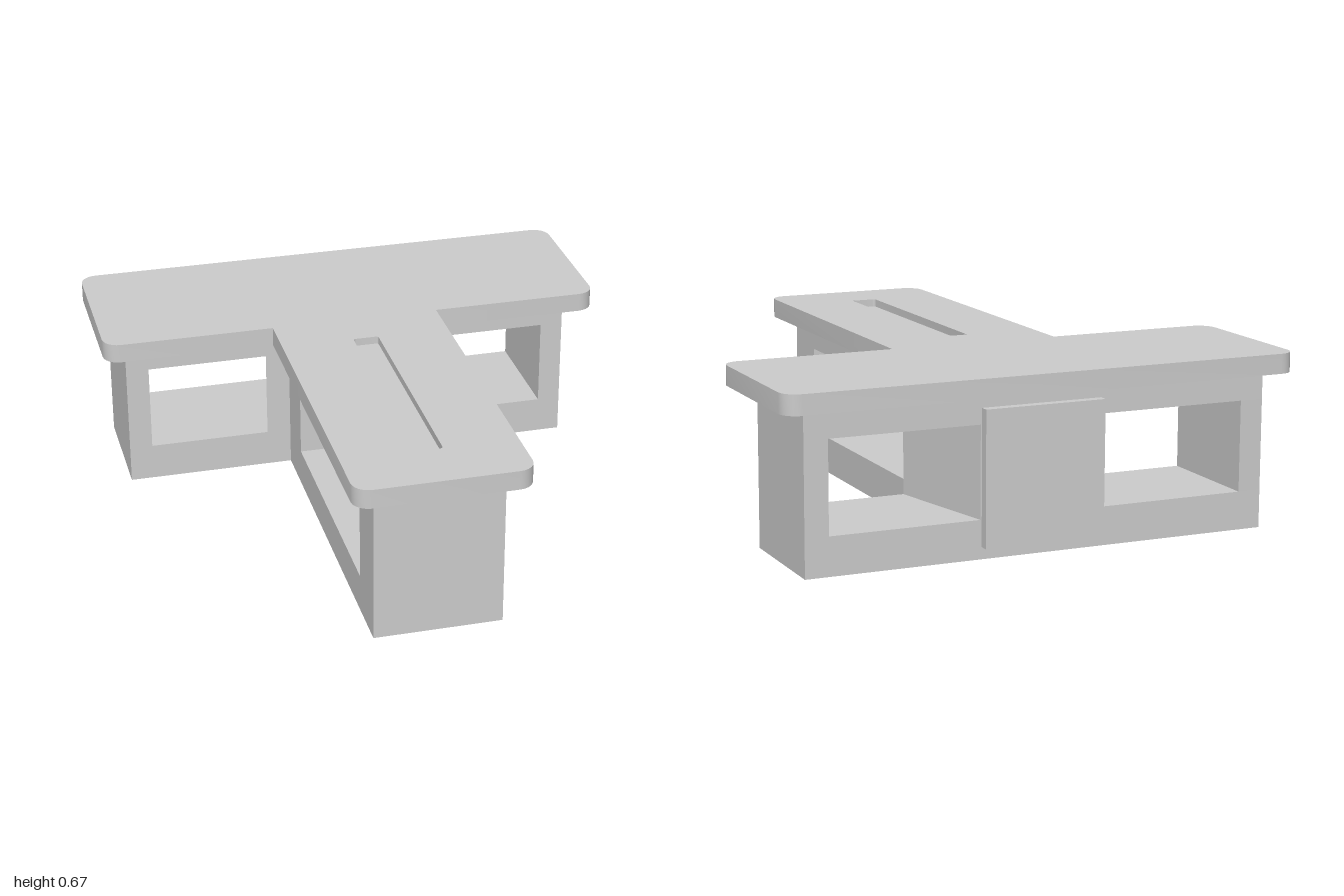
import * as THREE from 'three';
import { toCreasedNormals } from 'three/addons/utils/BufferGeometryUtils.js';

const material = new THREE.MeshStandardMaterial({ color: 0xcccccc });

// Plan outline from [x, z, radius] corners; a radius rounds that corner
function plan(corners, Type = THREE.Shape) {
  const path = new Type();
  const n = corners.length;
  corners.forEach(([x, z, r = 0], i) => {
    const p = new THREE.Vector2(x, z);
    const toward = (j) => {
      const q = new THREE.Vector2(corners[j][0], corners[j][1]);
      return q.sub(p).setLength(r).add(p);
    };
    const a = r ? toward((i + n - 1) % n) : p;
    if (i === 0) path.moveTo(a.x, a.y);
    else path.lineTo(a.x, a.y);
    if (r) {
      const b = toward((i + 1) % n);
      const c = a.clone().add(b).sub(p); // arc centre
      const start = Math.atan2(a.y - c.y, a.x - c.x);
      const end = Math.atan2(b.y - c.y, b.x - c.x);
      const clockwise = Math.sin(end - start) < 0;
      path.absarc(c.x, c.y, r, start, end, clockwise);
    }
  });
  path.closePath();
  return path;
}

// Raise a plan outline from y0 to y1
function raise(name, shape, y0, y1) {
  let geo = new THREE.ExtrudeGeometry(shape, { depth: y1 - y0, bevelEnabled: false, curveSegments: 3 });
  geo.rotateX(Math.PI / 2);
  geo.translate(0, y1, 0);
  geo = toCreasedNormals(geo, 0.6);
  const mesh = new THREE.Mesh(geo, material);
  mesh.name = name;
  return mesh;
}

const rect = (x0, x1, z0, z1, r = 0) => [[x0, z0, r], [x1, z0, r], [x1, z1, r], [x0, z1, r]];

// T-shaped outline: crossbar at the back, stem to the front
const tee = (barX, stemX, back, inner, front, r = 0) => [
  [-barX, back, r], [barX, back, r], [barX, inner, r], [stemX, inner],
  [stemX, front, r], [-stemX, front, r], [-stemX, inner], [-barX, inner, r],
];

export function createModel() {
  const model = new THREE.Group();
  model.name = 'tShapedTable';

  const sill = 0.145, lintel = 0.49, baseTop = 0.595, top = 0.67;
  const barX = 0.905, stemX = 0.245, back = -0.92, inner = -0.455, front = 0.915;

  // Base: floor, uprights between the openings, upper frame
  const base = new THREE.Group();
  base.name = 'base';
  const outline = tee(barX, stemX, back, inner, front);
  base.add(raise('baseFloor', plan(outline), 0, sill));
  base.add(raise('baseUpperFrame', plan(outline), lintel, baseTop));
  base.add(raise('stemFrontUpright', plan(rect(-stemX, stemX, 0.715, front)), sill, lintel));
  for (const [side, s] of [['left', 1], ['right', -1]]) {
    const x = [s * 0.815, s * barX].sort((a, b) => a - b);
    base.add(raise(side + 'EndWall', plan(rect(x[0], x[1], back, inner)), sill, lintel));
  }
  // Centre upright: jambs taper toward the back, root of the stem in front
  base.add(raise('centreUpright', plan([
    [-0.24, back], [0.24, back], [0.34, inner], [stemX, inner],
    [stemX, -0.26], [-stemX, -0.26], [-stemX, inner], [-0.34, inner],
  ]), sill, lintel));
  model.add(base);

  // Table top with a shallow slot along the stem
  const topShape = plan(tee(1, 0.333, -1, -0.337, 1, 0.065));
  topShape.holes.push(plan(rect(-0.05, 0.05, -0.163, 0.77, 0.01), THREE.Path));
  model.add(raise('tableTop', topShape, baseTop, top));
  model.add(raise('slotFloor', plan(rect(-0.05, 0.05, -0.163, 0.77, 0.01)), baseTop, 0.64));

  // Panel on the back
  const panel = new THREE.Mesh(new THREE.BoxGeometry(0.47, 0.505, 0.035), material);
  panel.position.set(0, 0.2975, back - 0.0175);
  panel.name = 'backPanel';
  model.add(panel);

  return model;
}
